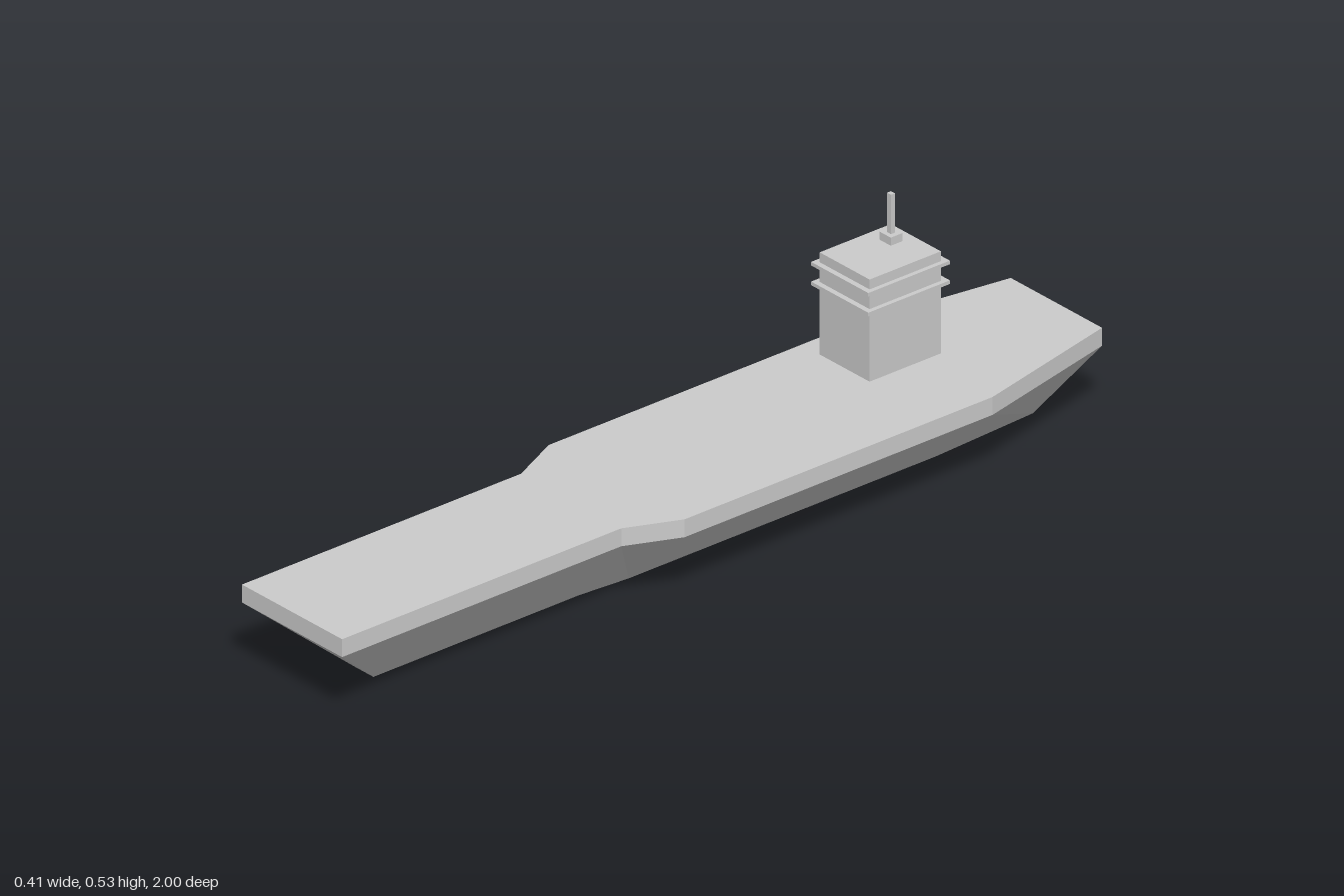
import * as THREE from 'three';

const material = new THREE.MeshStandardMaterial({ color: 0xcccccc, flatShading: true });

// Deck outline from bow to stern: [z, left edge x, right edge x]
const deckLine = [
  [1, -0.15, 0.155],
  [0.275, -0.15, 0.155],
  [0.155, -0.207, 0.207],
  [-0.645, -0.207, 0.207],
  [-1, -0.154, 0.124],
];
// Keel outline: the same stations pinched inward, with raked bow and stern
const keelZ = [0.81, 0.275, 0.155, -0.645, -0.907];
const keelLine = deckLine.map(([, a, b], i) => [keelZ[i], a * 0.178, b * 0.178]);

// Closed solid between two outlines at heights y0 and y1
function loft(name, lower, y0, upper, y1) {
  const n = lower.length;
  const ring = (line, y) => [
    ...line.map(([z, a]) => [a, y, z]),
    ...line.map(([z, , b]) => [b, y, z]).reverse(),
  ];
  const lo = ring(lower, y0), up = ring(upper, y1);
  const pos = [];
  const quad = (a, b, c, d) => pos.push(...a, ...b, ...c, ...a, ...c, ...d);
  // Sides, including bow and stern
  for (let i = 0; i < 2 * n; i++) {
    const j = (i + 1) % (2 * n);
    quad(lo[i], up[i], up[j], lo[j]);
  }
  // Top and bottom, one strip per station
  for (let i = 0; i < n - 1; i++) {
    const r = 2 * n - 1 - i;
    quad(up[i], up[r], up[r - 1], up[i + 1]);
    quad(lo[i], lo[i + 1], lo[r - 1], lo[r]);
  }
  const geometry = new THREE.BufferGeometry();
  geometry.setAttribute('position', new THREE.Float32BufferAttribute(pos, 3));
  geometry.computeVertexNormals();
  const mesh = new THREE.Mesh(geometry, material);
  mesh.name = name;
  return mesh;
}

// Box given by its extents
function box(name, x0, x1, y0, y1, z0, z1) {
  const mesh = new THREE.Mesh(new THREE.BoxGeometry(x1 - x0, y1 - y0, z1 - z0), material);
  mesh.position.set((x0 + x1) / 2, (y0 + y1) / 2, (z0 + z1) / 2);
  mesh.name = name;
  return mesh;
}

export function createModel() {
  const ship = new THREE.Group();
  ship.name = 'ship';
  ship.add(loft('hull', keelLine, 0, deckLine, 0.16));
  ship.add(loft('flightDeck', deckLine, 0.16, deckLine, 0.2));

  // Command tower with two overhanging ledges and a mast
  const tower = new THREE.Group();
  tower.name = 'tower';
  tower.add(box('towerBody', -0.152, 0, 0.2, 0.428, -0.687, -0.502));
  [0.354, 0.398].forEach((y, i) =>
    tower.add(box(`towerLedge${i + 1}`, -0.164, 0.01, y, y + 0.008, -0.702, -0.49)));
  tower.add(box('mastBase', -0.116, -0.082, 0.428, 0.446, -0.657, -0.627));
  tower.add(box('mast', -0.105, -0.093, 0.446, 0.534, -0.647, -0.637));
  ship.add(tower);
  return ship;
}
